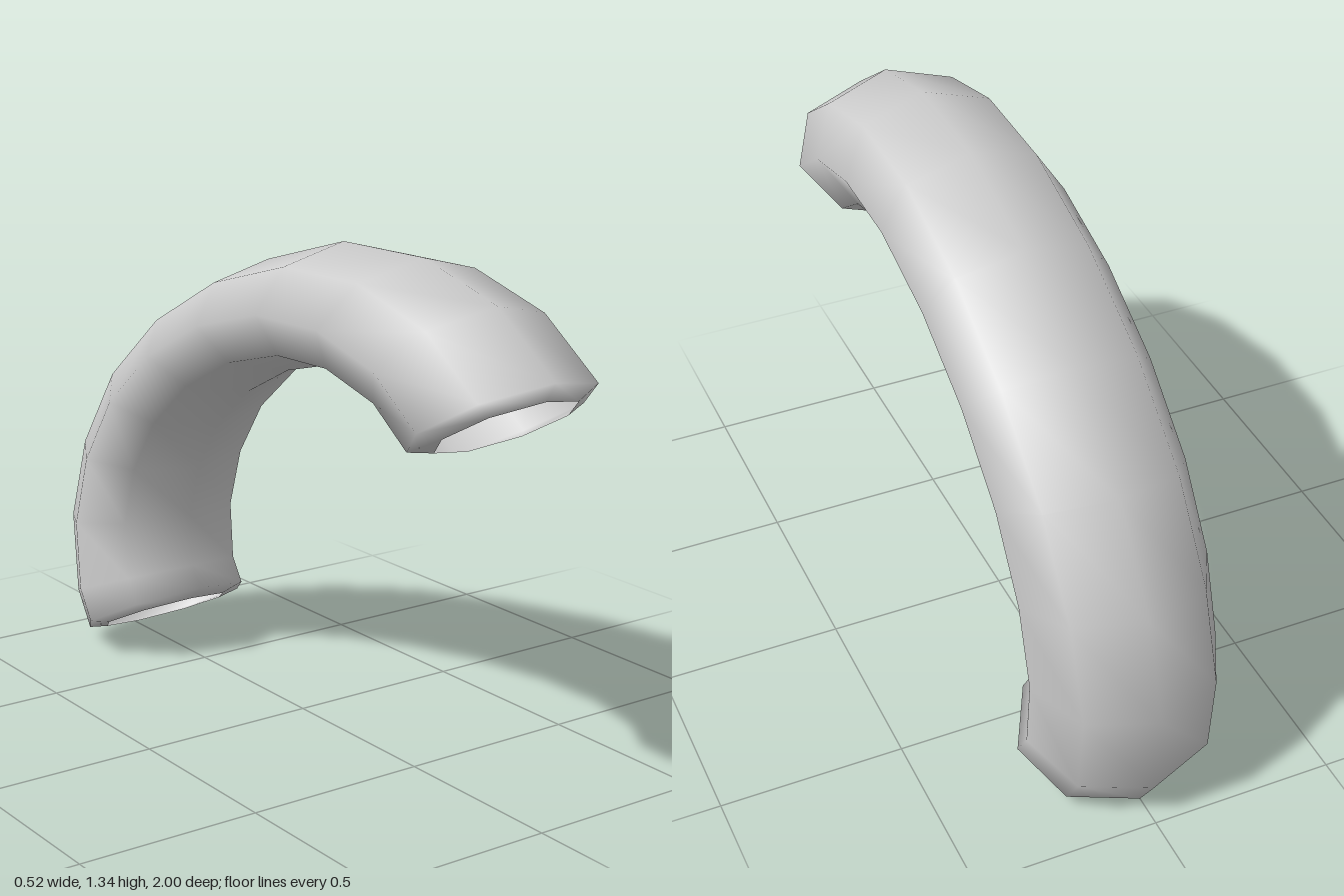
import * as THREE from 'three';

const SIDES = 8;

// Each station along the arch: outer z, outer y, inner z, inner y, half width
const stations = [
  [0.97, 1.07, 0.69, 0.89, 0.195], // front lip, turned inward
  [1.0, 1.12, 0.63, 0.88, 0.26],
  [0.79, 1.265, 0.51, 0.965, 0.26],
  [0.51, 1.34, 0.33, 1.01, 0.26],
  [0.18, 1.335, 0.14, 1.005, 0.26],
  [-0.16, 1.24, -0.07, 0.95, 0.26],
  [-0.47, 1.08, -0.26, 0.855, 0.26],
  [-0.73, 0.87, -0.42, 0.725, 0.26],
  [-0.91, 0.62, -0.52, 0.58, 0.26],
  [-1.0, 0.36, -0.57, 0.42, 0.26],
  [-0.98, 0.11, -0.56, 0.27, 0.26],
  [-0.91, 0.0, -0.52, 0.21, 0.26],
  [-0.87, 0.01, -0.57, 0.165, 0.195], // back lip, turned inward
];

// Skin eight-sided oval sections into one smooth open tube
function loftTube(rows) {
  const positions = [];
  const indices = [];
  rows.forEach(([oz, oy, iz, iy, halfWidth], i) => {
    for (let j = 0; j < SIDES; j++) {
      const angle = (j / SIDES) * Math.PI * 2;
      const t = (1 + Math.cos(angle)) / 2; // 1 on the outer side, 0 on the inner side
      positions.push(Math.sin(angle) * halfWidth, iy + (oy - iy) * t, iz + (oz - iz) * t);
      if (i < rows.length - 1) {
        const next = (j + 1) % SIDES;
        const a = i * SIDES + j;
        const b = i * SIDES + next;
        const c = b + SIDES;
        const d = a + SIDES;
        indices.push(a, b, d, b, c, d);
      }
    }
  });
  const geometry = new THREE.BufferGeometry();
  geometry.setAttribute('position', new THREE.Float32BufferAttribute(positions, 3));
  geometry.setIndex(indices);
  geometry.computeVertexNormals();
  return geometry;
}

export function createModel() {
  const group = new THREE.Group();
  group.name = 'archedTube';
  const material = new THREE.MeshStandardMaterial({ color: 0xcccccc, side: THREE.DoubleSide });

  // Hollow arch, open at both ends
  const tube = new THREE.Mesh(loftTube(stations), material);
  tube.name = 'tubeShell';
  group.add(tube);
  return group;
}
